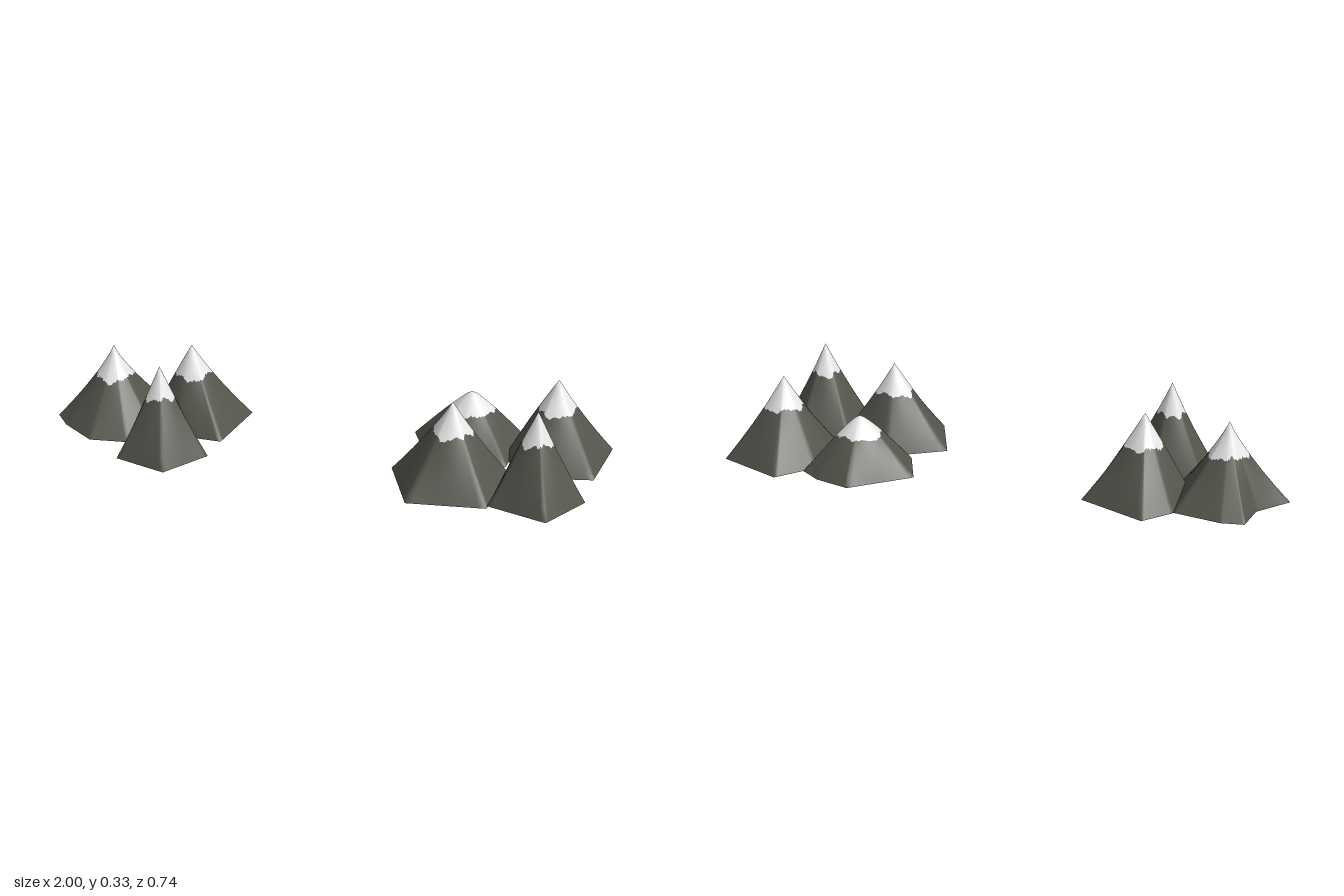
import * as THREE from 'three';

// Seeded noise for the ragged snow lines
function makeRandom(seed) {
  let s = seed;
  return () => (s = (s * 16807) % 2147483647) / 2147483647;
}

const rock = new THREE.MeshStandardMaterial({ color: 0x56554d, side: THREE.DoubleSide });
rock.name = 'dark rock';
const snow = new THREE.MeshStandardMaterial({ color: 0xf0f0f0, side: THREE.DoubleSide });
snow.name = 'snow';

const EDGE_STEPS = 12;
const SNOW_ROWS = 4;
const ROCK_ROWS = 6;

// A smooth hollow peak: round near the tip, widening to a many-cornered foot.
// corners: foot outline as [x, z]; snowLine: share of the slope under snow;
// flare > 1 sweeps the foot outwards; dome > 1 rounds the top.
function mountain({ name, peak, corners, snowLine, foot = 0.005, flare = 1, dome = 1, seed }) {
  const random = makeRandom(seed);
  const [px, height, pz] = peak;

  // Outline of the foot relative to the peak
  const outline = [];
  corners.forEach(([x, z], i) => {
    const [nx, nz] = corners[(i + 1) % corners.length];
    for (let k = 0; k < EDGE_STEPS; k++) {
      const f = k / EDGE_STEPS;
      outline.push([x + (nx - x) * f - px, z + (nz - z) * f - pz]);
    }
  });
  const n = outline.length;
  const meanRadius = outline.reduce((sum, [x, z]) => sum + Math.hypot(x, z), 0) / n;

  // Ragged snow edge: slow waves plus small steps
  const phase = random() * 6;
  const edge = outline.map((p, i) => {
    const a = (i / n) * Math.PI * 2;
    return snowLine + 0.02 * Math.sin(3 * a + phase) + 0.015 * Math.sin(7 * a) + 0.03 * (random() - 0.5);
  });

  const positions = [px, height, pz];
  const rows = SNOW_ROWS + ROCK_ROWS;
  for (let r = 1; r <= rows; r++) {
    outline.forEach(([x, z], i) => {
      const t = r <= SNOW_ROWS
        ? edge[i] * r / SNOW_ROWS
        : edge[i] + (1 - edge[i]) * (r - SNOW_ROWS) / ROCK_ROWS;
      const round = meanRadius / Math.hypot(x, z);
      const scale = Math.pow(t, flare) * (t + (1 - t) * round);
      positions.push(px + x * scale, foot + (height - foot) * (1 - Math.pow(t, dome)), pz + z * scale);
    });
  }

  const index = [];
  const at = (r, i) => 1 + (r - 1) * n + (i % n);
  for (let i = 0; i < n; i++) index.push(0, at(1, i + 1), at(1, i));
  let snowCount = 0;
  for (let r = 1; r < rows; r++) {
    if (r === SNOW_ROWS) snowCount = index.length;
    for (let i = 0; i < n; i++) {
      const a = at(r, i), b = at(r, i + 1), c = at(r + 1, i), d = at(r + 1, i + 1);
      index.push(a, b, c, b, d, c);
    }
  }

  const geometry = new THREE.BufferGeometry();
  geometry.setAttribute('position', new THREE.Float32BufferAttribute(positions, 3));
  geometry.setIndex(index);
  geometry.addGroup(0, snowCount, 0);
  geometry.addGroup(snowCount, index.length - snowCount, 1);
  geometry.computeVertexNormals();
  const mesh = new THREE.Mesh(geometry, [snow, rock]);
  mesh.name = name;
  return mesh;
}

// Four peaks on the left
const leftPeaks = [
  {
    name: 'lowPeak', peak: [0.5, 0.205, -0.18], snowLine: 0.42, dome: 1.25, seed: 11,
    corners: [[0.29, -0.2], [0.47, -0.37], [0.6, -0.335], [0.68, -0.28], [0.66, -0.02], [0.49, 0], [0.37, -0.03]],
  },
  {
    name: 'backOuterPeak', peak: [0.81, 0.303, -0.148], snowLine: 0.37, seed: 23,
    corners: [[0.75, -0.37], [0.995, -0.27], [0.97, -0.01], [0.71, 0.05], [0.64, -0.12], [0.65, -0.24]],
  },
  {
    name: 'frontInnerPeak', peak: [0.5, 0.3, 0.13], snowLine: 0.36, foot: 0, seed: 37,
    corners: [[0.28, 0.09], [0.47, -0.04], [0.7, 0.04], [0.66, 0.29], [0.39, 0.33]],
  },
  {
    name: 'frontOuterPeak', peak: [0.8, 0.327, 0.178], snowLine: 0.34, seed: 41,
    corners: [[0.67, 0.08], [0.85, 0.01], [0.97, 0.16], [0.87, 0.34], [0.66, 0.28]],
  },
];

// Three peaks on the right
const rightPeaks = [
  {
    name: 'spurPeak', peak: [-0.79, 0.29, -0.01], snowLine: 0.4, flare: 1.15, seed: 53,
    corners: [[-1, 0.04], [-0.91, -0.08], [-0.9, -0.2], [-0.82, -0.215], [-0.65, -0.185],
      [-0.6, 0.08], [-0.67, 0.18], [-0.81, 0.2], [-0.94, 0.11]],
  },
  {
    name: 'backPeak', peak: [-0.51, 0.303, -0.065], snowLine: 0.37, seed: 67,
    corners: [[-0.57, -0.29], [-0.325, -0.185], [-0.355, 0.08], [-0.53, 0.08], [-0.665, 0], [-0.65, -0.19]],
  },
  {
    name: 'frontPeak', peak: [-0.53, 0.327, 0.2], snowLine: 0.34, seed: 71,
    corners: [[-0.67, 0.12], [-0.5, 0.06], [-0.36, 0.2], [-0.465, 0.365], [-0.66, 0.31]],
  },
];

export function createModel() {
  const model = new THREE.Group();
  model.name = 'mountains';
  for (const [name, peaks] of [['leftRange', leftPeaks], ['rightRange', rightPeaks]]) {
    const range = new THREE.Group();
    range.name = name;
    peaks.forEach((p) => range.add(mountain(p)));
    model.add(range);
  }
  return model;
}
